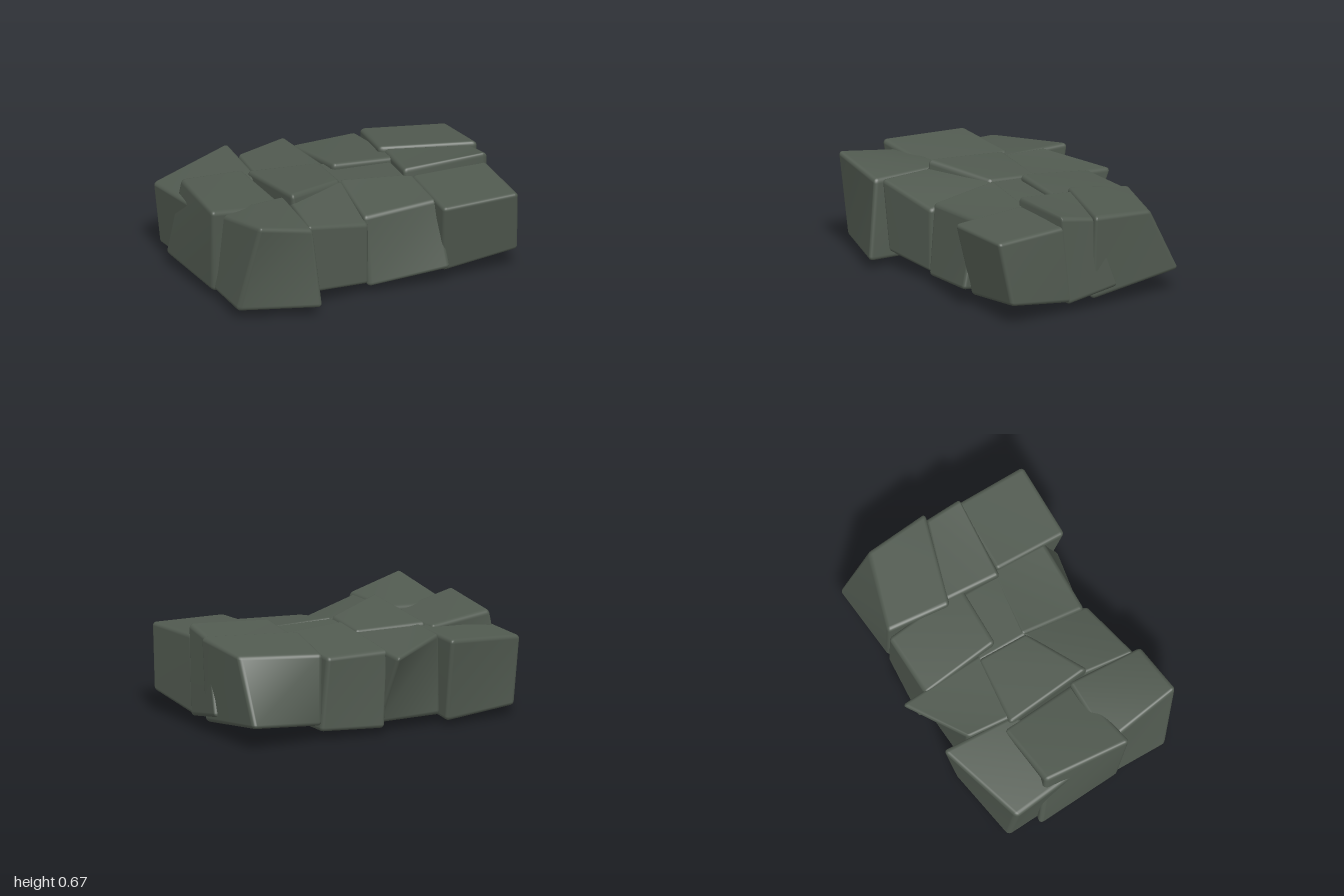
import * as THREE from 'three';
import { RoundedBoxGeometry } from 'three/addons/geometries/RoundedBoxGeometry.js';
import { mergeVertices } from 'three/addons/utils/BufferGeometryUtils.js';

// Each stone: top then bottom corners [x, y, z], ordered backLeft, backRight, frontRight, frontLeft (as seen from above)
const stones = {
  backStone1: [
    [[-1.01, .5, -.53], [-.41, .58, -.72], [-.43, .57, -.2], [-.95, .53, -.02]],
    [[-.95, .06, -.56], [-.42, .03, -.63], [-.44, .06, -.15], [-.92, .08, -.05]]],
  backStone2: [
    [[-.42, .58, -.53], [0, .52, -.78], [.03, .57, -.14], [-.45, .58, -.16]],
    [[-.42, .06, -.55], [.03, .06, -.56], [.02, .06, -.15], [-.44, .06, -.15]]],
  backStone3: [
    [[-.02, .535, -.61], [.42, .54, -.62], [.47, .59, -.06], [.03, .62, -.07]],
    [[.02, .04, -.635], [.46, .06, -.6], [.45, .05, -.07], [.01, .04, -.1]]],
  backStone4: [
    [[.45, .565, -.61], [.97, .575, -.44], [1, .62, -.01], [.39, .62, -.19]],
    [[.45, .1, -.6], [.97, .15, -.66], [.97, .06, 0], [.46, .06, -.12]]],
  middleStone1: [
    [[-.93, .62, -.27], [-.49, .58, -.32], [-.43, .54, .23], [-.98, .64, .32]],
    [[-1, .08, -.36], [-.45, .005, -.22], [-.43, .05, .25], [-.94, .05, .25]]],
  middleStone2: [
    [[-.48, .59, -.27], [0, .58, -.21], [-.01, .6, .12], [-.43, .66, .33]],
    [[-.43, .06, -.2], [-.02, .02, -.2], [-.02, -.005, .35], [-.41, .05, .36]]],
  middleStone3: [
    [[-.02, .57, -.22], [.43, .56, -.12], [.43, .57, .2], [-.02, .59, .13]],
    [[-.01, .04, -.15], [.46, .05, -.1], [.46, .05, .2], [-.02, .03, .2]]],
  middleStone4: [
    [[.43, .6, -.2], [.96, .6, -.02], [.96, .65, .22], [.4, .62, .18]],
    [[.45, .06, -.1], [.995, .13, -.19], [.975, .06, .17], [.45, .06, .25]]],
  frontStone1: [
    [[-.9, .57, .19], [-.43, .6, .19], [-.45, .58, .7], [-.83, .68, .74]],
    [[-.93, .06, .12], [-.42, .04, .22], [-.41, .06, .77], [-.93, .06, .6]]],
  frontStone2: [
    [[-.43, .6, .28], [.01, .59, .1], [-.01, .48, .57], [-.46, .58, .65]],
    [[-.42, .06, .25], [-.01, .04, .15], [-.01, .07, .57], [-.41, .11, .63]]],
  frontStone3: [
    [[-.01, .6, .1], [.47, .57, .16], [.47, .55, .54], [-.03, .52, .54]],
    [[-.01, .04, .15], [.47, .05, .18], [.515, .12, .665], [-.02, .05, .58]]],
  frontStone4: [
    [[.45, .58, .19], [.96, .58, .19], [.97, .56, .69], [.45, .55, .69]],
    [[.46, .06, .2], [.97, .07, .14], [1, .14, .61], [.49, .07, .59]]],
};

// Bends a bevelled unit cube so that its corners land on the given eight points
function warpedStone([top, bottom]) {
  let geometry = new RoundedBoxGeometry(1, 1, 1, 3, 0.055);
  geometry.deleteAttribute('normal');
  geometry.deleteAttribute('uv');
  geometry = mergeVertices(geometry, 1e-4);
  geometry.clearGroups();
  const p = geometry.attributes.position;
  for (let i = 0; i < p.count; i++) {
    const u = p.getX(i) + 0.5, v = p.getY(i) + 0.5, w = p.getZ(i) + 0.5;
    const weights = [(1 - u) * (1 - w), u * (1 - w), u * w, (1 - u) * w];
    const point = [0, 0, 0];
    weights.forEach((k, c) => {
      for (let a = 0; a < 3; a++) point[a] += k * (v * top[c][a] + (1 - v) * bottom[c][a]);
    });
    p.setXYZ(i, ...point);
  }
  geometry.computeVertexNormals();
  return geometry;
}

export function createModel() {
  const group = new THREE.Group();
  group.name = 'stonePaving';
  const stone = new THREE.MeshStandardMaterial({ color: 0x515a50 });
  stone.name = 'grey green stone';
  for (const [name, corners] of Object.entries(stones)) {
    const mesh = new THREE.Mesh(warpedStone(corners), stone);
    mesh.name = name;
    group.add(mesh);
  }
  return group;
}
